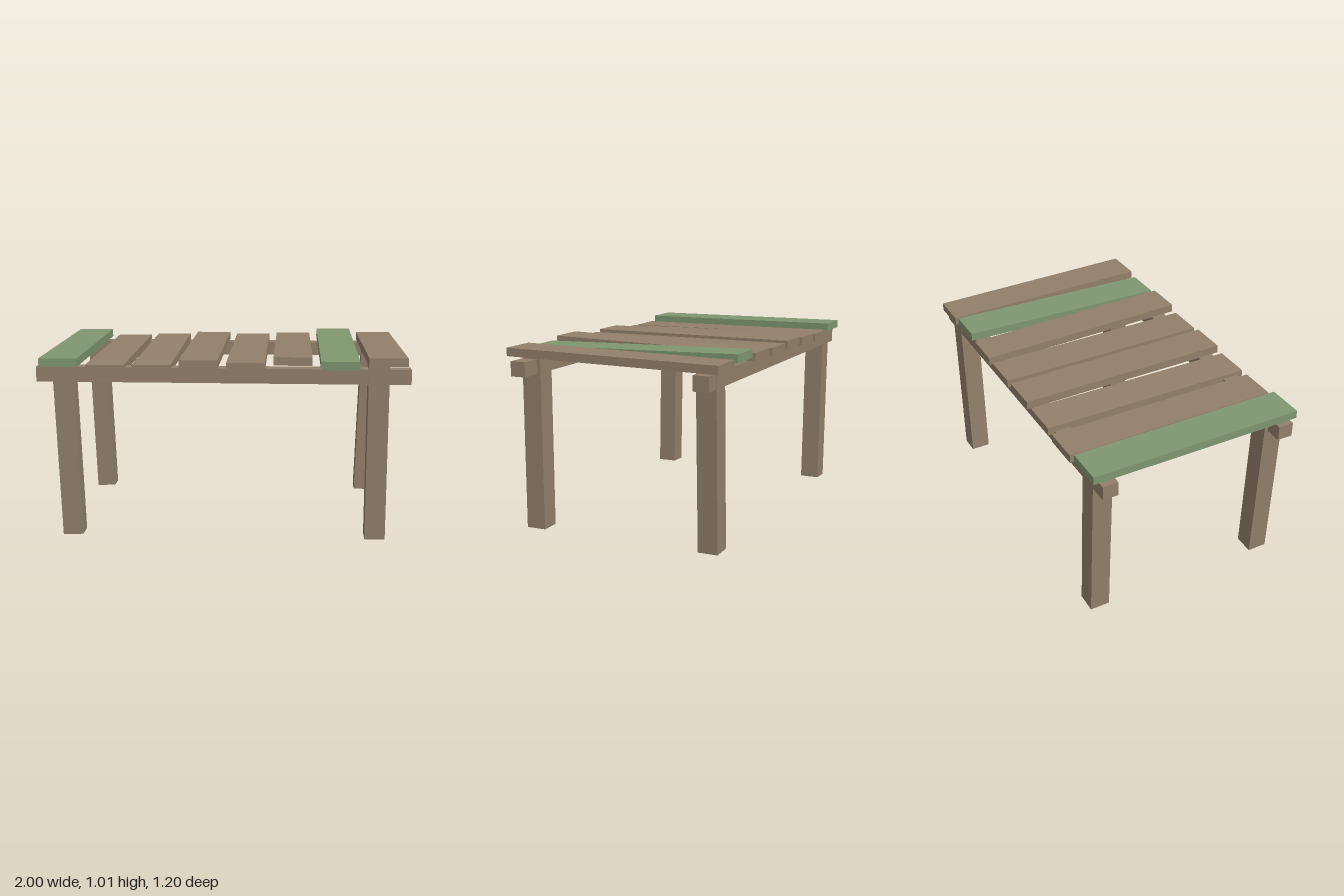
import * as THREE from 'three';

const wood = new THREE.MeshStandardMaterial({ name: 'weathered wood', color: 0x92806a, flatShading: true });
const green = new THREE.MeshStandardMaterial({ name: 'faded green paint', color: 0x7f9770, flatShading: true });

function box(name, w, h, d, material) {
  const mesh = new THREE.Mesh(new THREE.BoxGeometry(w, h, d), material);
  mesh.name = name;
  return mesh;
}

export function createModel() {
  const table = new THREE.Group();
  table.name = 'plankTable';

  // Two long rails under the planks
  for (const [name, z] of [['frontRail', 0.52], ['backRail', -0.518]]) {
    const rail = box(name, 2, 0.08, 0.086, wood);
    rail.position.set(0, 0.895, z);
    table.add(rail);
  }

  // Legs, some leaning: name, foot x, top x, height, z
  const legs = [
    ['frontLeftLeg', 0.83, 0.83, 0.955, 0.51],
    ['backLeftLeg', 0.829, 0.857, 0.945, -0.508],
    ['frontRightLeg', -0.824, -0.857, 0.94, 0.51],
    ['backRightLeg', -0.811, -0.848, 0.94, -0.508],
  ];
  for (const [name, foot, top, height, z] of legs) {
    const leg = box(name, 0.11, height, 0.11, wood);
    leg.position.set((foot + top) / 2, height / 2 + 0.001, z);
    leg.rotation.z = Math.atan2(foot - top, height);
    table.add(leg);
  }

  // Uneven planks: centre height at the front end, at the back end, material
  const planks = [
    [0.963, 0.97, green],
    [0.931, 0.936, wood],
    [0.933, 0.945, wood],
    [0.96, 0.957, wood],
    [0.948, 0.949, wood],
    [0.981, 0.957, wood],
    [0.959, 0.984, green],
    [0.979, 0.963, wood],
  ];
  planks.forEach(([front, back, material], i) => {
    const plank = box(`plank${i + 1}`, 0.205, 0.045, 1.2, material);
    plank.position.set(-0.875 + i * 0.25, (front + back) / 2, 0);
    plank.rotation.x = Math.atan2(back - front, 1.2);
    table.add(plank);
  });

  return table;
}
